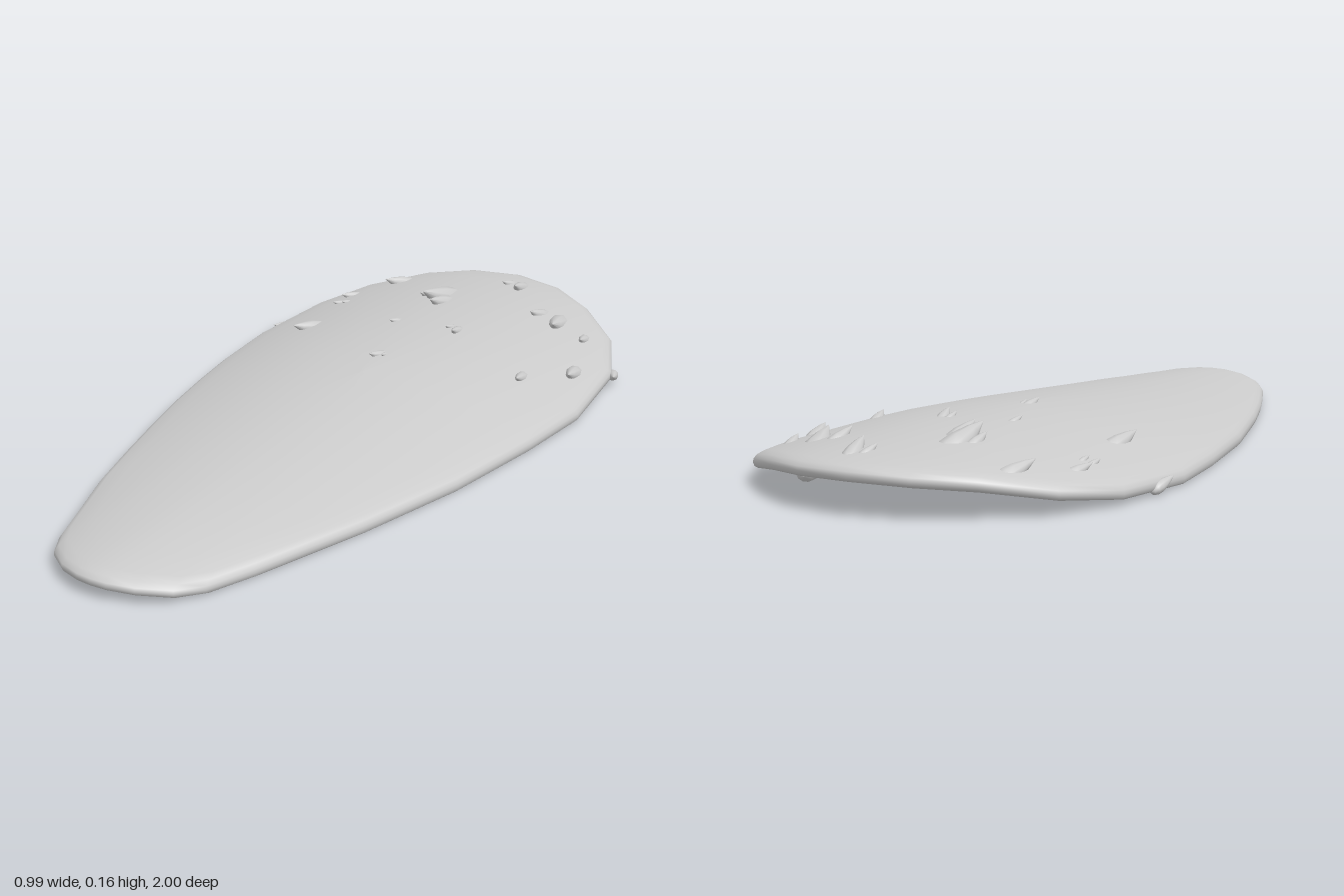
import * as THREE from 'three';

const material = new THREE.MeshStandardMaterial({ color: 0xcccccc, side: THREE.DoubleSide });

// Piecewise-linear lookup through [position, value] pairs
function lookup(pairs, p) {
  if (p <= pairs[0][0]) return pairs[0][1];
  for (let i = 1; i < pairs.length; i++) {
    const [a, va] = pairs[i - 1], [b, vb] = pairs[i];
    if (p <= b) return va + (vb - va) * (p - a) / (b - a);
  }
  return pairs[pairs.length - 1][1];
}

// Height of the ridge along the length, and how strongly it arches sideways
const ridge = [[-1, 0.113], [-0.9, 0.124], [-0.7, 0.133], [-0.45, 0.136], [-0.25, 0.134], [0, 0.12], [0.5, 0.086], [0.85, 0.069], [1, 0.061]];
const arch = [[-1, 0.38], [-0.37, 0.4], [0, 0.41], [0.28, 0.43], [0.6, 0.48], [0.86, 0.78], [1, 0.8]];
const surface = (x, z) => lookup(ridge, z) - lookup(arch, z) * x * x;

// Extra thickness in the middle, so the underside is flatter than the top
const belly = [[0, 0.033], [0.7, 0.008]];

// Half outline seen from above, back to front
const half = [[0, -1], [0.14, -0.975], [0.26, -0.905], [0.39, -0.79], [0.465, -0.63], [0.493, -0.37],
  [0.472, -0.15], [0.448, 0], [0.423, 0.14], [0.388, 0.28], [0.346, 0.44], [0.298, 0.6], [0.25, 0.735],
  [0.205, 0.855], [0.165, 0.92], [0.1, 0.97], [0.04, 0.993], [0, 0.997]];

// Arched slab: rings run from the top centre, round the rim, to the bottom centre
function createShell() {
  const outline = [...half, ...half.slice(1, -1).reverse().map(([x, z]) => [-x, z])];
  const rim = 0.038, centreZ = -0.1;
  const rings = [[0, 0], [0.15, 0], [0.3, 0], [0.45, 0], [0.6, 0], [0.75, 0], [0.88, 0], [0.96, 0.02],
    [0.985, 0.12], [0.998, 0.32], [1, 0.55], [0.996, 0.8], [0.986, 0.95],
    [0.965, 1], [0.85, 1], [0.7, 1], [0.5, 1], [0.25, 1], [0, 1]];
  const positions = [], index = [], n = outline.length;
  for (const [s, depth] of rings) {
    for (const [ox, oz] of outline) {
      const x = ox * s, z = centreZ + (oz - centreZ) * s;
      const thickness = rim + lookup(belly, z) * (1 - s * s);
      positions.push(x, surface(x, z) - depth * thickness, z);
    }
  }
  for (let j = 0; j < rings.length - 1; j++) {
    for (let i = 0; i < n; i++) {
      const a = j * n + i, b = j * n + (i + 1) % n;
      if (j > 0) index.push(a, b, a + n);
      if (j < rings.length - 2) index.push(b, b + n, a + n);
    }
  }
  const geometry = new THREE.BufferGeometry();
  geometry.setAttribute('position', new THREE.Float32BufferAttribute(positions, 3));
  geometry.setIndex(index);
  geometry.computeVertexNormals();
  const mesh = new THREE.Mesh(geometry, material);
  mesh.name = 'shell';
  return mesh;
}

// Half-buried thorns: root x, root z, tip x, tip z, optional drop into the shell
const thorns = [
  [-0.26, -0.84, -0.31, -0.74], [0.05, -0.93, 0.07, -0.82], [0.03, -0.91, 0.015, -0.85],
  [-0.08, -0.78, -0.11, -0.61], [-0.06, -0.7, -0.07, -0.58], [-0.125, -0.72, -0.135, -0.64],
  [0.22, -0.83, 0.27, -0.66, 0.01], [0.2, -0.78, 0.185, -0.69], [0.335, -0.74, 0.355, -0.66],
  [0.45, -0.67, 0.485, -0.6, 0.015], [-0.35, -0.69, -0.385, -0.62], [-0.36, -0.605, -0.375, -0.56],
  [-0.34, -0.605, -0.35, -0.565], [-0.473, -0.5, -0.492, -0.43, 0.015], [-0.31, -0.43, -0.345, -0.31],
  [-0.09, -0.47, -0.105, -0.42], [0.07, -0.51, 0.085, -0.43], [0.055, -0.505, 0.05, -0.455],
  [0.39, -0.57, 0.42, -0.455], [0.315, -0.41, 0.335, -0.325], [-0.01, -0.255, -0.025, -0.185], [-0.002, -0.245, 0, -0.205],
];

function createThorns() {
  const group = new THREE.Group();
  group.name = 'thorns';
  const profile = [[0, -0.06], [0.1, -0.02], [0.17, 0.12], [0.185, 0.3], [0.16, 0.5], [0.09, 0.76], [0, 1]]
    .map(([r, y]) => new THREE.Vector2(r, y));
  const geometry = new THREE.LatheGeometry(profile, 10);
  const up = new THREE.Vector3(0, 1, 0);
  for (const [rx, rz, tx, tz, drop = 0] of thorns) {
    const size = Math.hypot(tx - rx, tz - rz);
    const root = new THREE.Vector3(rx, surface(rx, rz) - 0.3 * size - drop, rz);
    const tip = new THREE.Vector3(tx, surface(tx, tz) + 0.17 * size - drop, tz);
    const direction = tip.clone().sub(root);
    const mesh = new THREE.Mesh(geometry, material);
    mesh.name = 'thorn';
    mesh.position.copy(root);
    mesh.scale.setScalar(direction.length());
    mesh.quaternion.setFromUnitVectors(up, direction.normalize());
    group.add(mesh);
  }
  return group;
}

export function createModel() {
  const model = new THREE.Group();
  model.name = 'thornedShell';
  model.add(createShell(), createThorns());
  return model;
}
